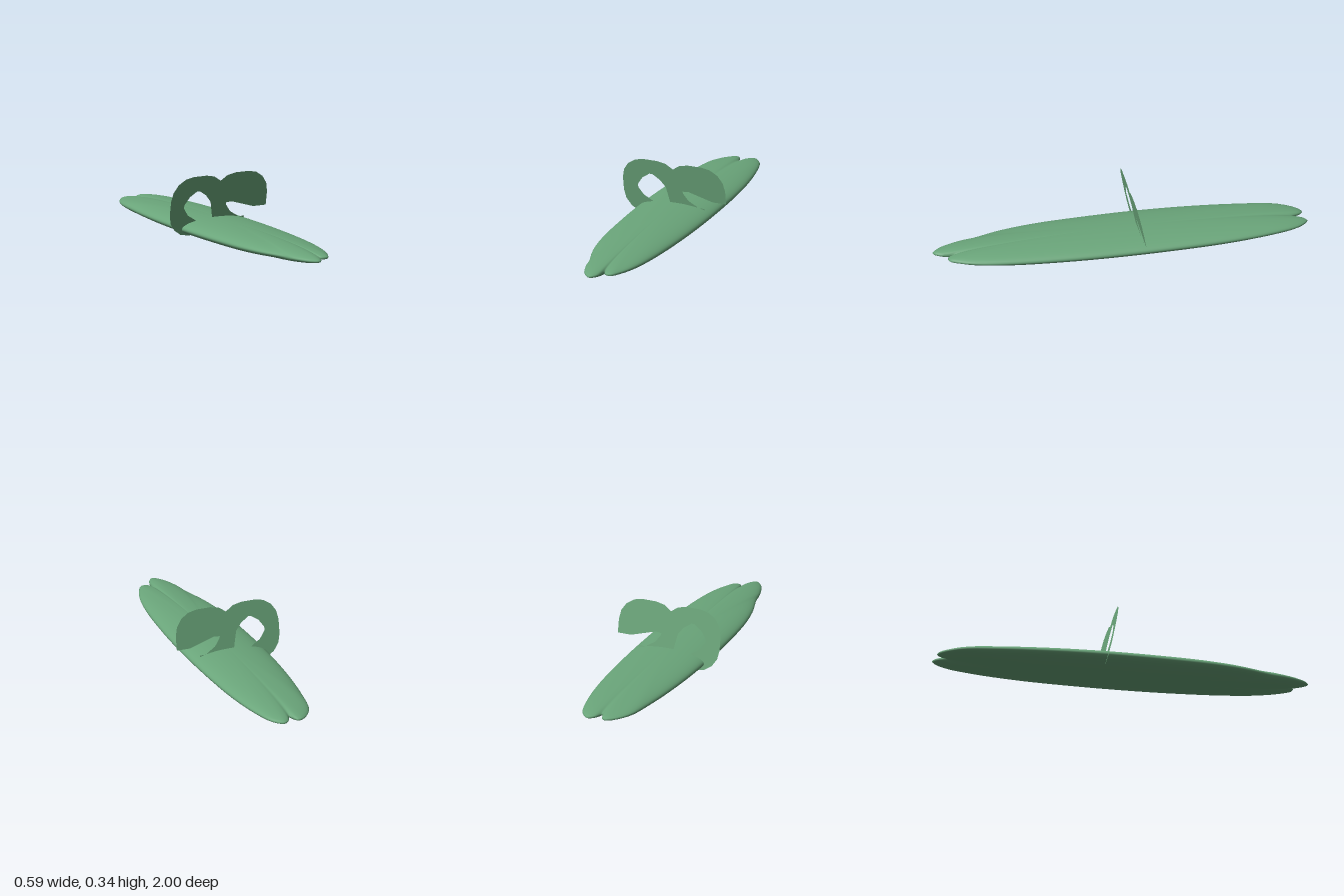
import * as THREE from 'three';
import { mergeVertices } from 'three/addons/utils/BufferGeometryUtils.js';

const green = new THREE.MeshStandardMaterial({ color: 0x6aa57a });
const greenSheet = new THREE.MeshStandardMaterial({ color: 0x6aa57a, side: THREE.DoubleSide });

// Long lens-shaped hull: a sphere whose equator follows a notched plan outline
function makeHull() {
  const plan = [
    [-0.21, -0.1], [-0.205, 0.2], [-0.19, 0.45], [-0.16, 0.63], [-0.115, 0.78], [-0.1, 0.86],
    [-0.06, 0.96], [-0.02, 0.995], [0.01, 0.96], [0.025, 0.89], [0.037, 0.92], [0.07, 0.925],
    [0.1, 0.88], [0.135, 0.79], [0.165, 0.64], [0.19, 0.38], [0.202, 0.1], [0.2, -0.25],
    [0.183, -0.58], [0.15, -0.81], [0.11, -0.95], [0.062, -1], [0.03, -0.98], [0.005, -0.93],
    [-0.02, -0.985], [-0.05, -0.985], [-0.125, -0.89], [-0.165, -0.7], [-0.198, -0.4],
  ];
  const outline = new THREE.CatmullRomCurve3(
    plan.map(([x, z]) => new THREE.Vector3(x, 0, z)), true, 'centripetal');
  const geo = new THREE.SphereGeometry(1, plan.length * 4, 28);
  const pos = geo.attributes.position, uv = geo.attributes.uv, p = new THREE.Vector3();
  for (let i = 0; i < pos.count; i++) {
    const theta = (1 - uv.getY(i)) * Math.PI;
    outline.getPoint(((uv.getX(i) % 1) + 1) % 1, p).multiplyScalar(Math.sin(theta));
    pos.setXYZ(i, p.x, 0.054 - 0.005 * p.z + 0.051 * Math.cos(theta), p.z);
  }
  geo.deleteAttribute('uv');
  geo.deleteAttribute('normal');
  const hull = mergeVertices(geo, 1e-5);
  hull.computeVertexNormals();
  return hull;
}

// Flat double-curl sheet standing across the hull, leaning slightly
function makeCurl() {
  const arch = [[-0.293, 0.14], [-0.293, 0.215], [-0.283, 0.263], [-0.256, 0.303],
    [-0.215, 0.33], [-0.167, 0.34], [-0.088, 0.34], [-0.04, 0.33]];
  const inner = [[-0.207, 0.19], [-0.18, 0.229], [-0.138, 0.257], [-0.122, 0.257],
    [-0.08, 0.229], [-0.049, 0.19]];
  const hook = [[-0.135, 0.1], [-0.18, 0.127], [-0.207, 0.165], [-0.211, 0.178]];
  const mirrored = (pts) => pts.map(([x, y]) => [-x, y]).reverse();
  const shifted = (pts, dx) => pts.map(([x, y]) => [x + dx, y]);

  const contour = [
    // outer edge, left to right over both arches
    [-0.167, 0.017], [-0.215, 0.025], [-0.255, 0.052], [-0.283, 0.092],
    ...arch, [0, 0.303], ...mirrored(arch),
    // free end and inside of the second curl
    [0.217, 0.14], ...mirrored(inner), ...shifted(hook, 0.256).reverse(),
    [0.125, 0.093], [0.165, 0.093], [0.165, 0.017], [0.09, 0.017], [0.05, 0.023],
    // stem, then inside and foot of the first curl
    [0.01, 0.045], [-0.02, 0.08], [-0.03, 0.1],
    ...[...inner].reverse(), ...[...hook].reverse(),
    [-0.125, 0.093], [-0.088, 0.093], [-0.088, 0.017],
  ];
  const geo = new THREE.ShapeGeometry(
    new THREE.Shape(contour.map(([x, y]) => new THREE.Vector2(x, y))));
  const pos = geo.attributes.position;
  for (let i = 0; i < pos.count; i++) pos.setZ(i, -0.053 - 0.185 * (0.34 - pos.getY(i)));
  geo.computeVertexNormals();
  return geo;
}

export function createModel() {
  const model = new THREE.Group();
  model.name = 'model';
  const hull = new THREE.Mesh(makeHull(), green);
  hull.name = 'hull';
  const curl = new THREE.Mesh(makeCurl(), greenSheet);
  curl.name = 'curledSheet';
  model.add(hull, curl);
  return model;
}
